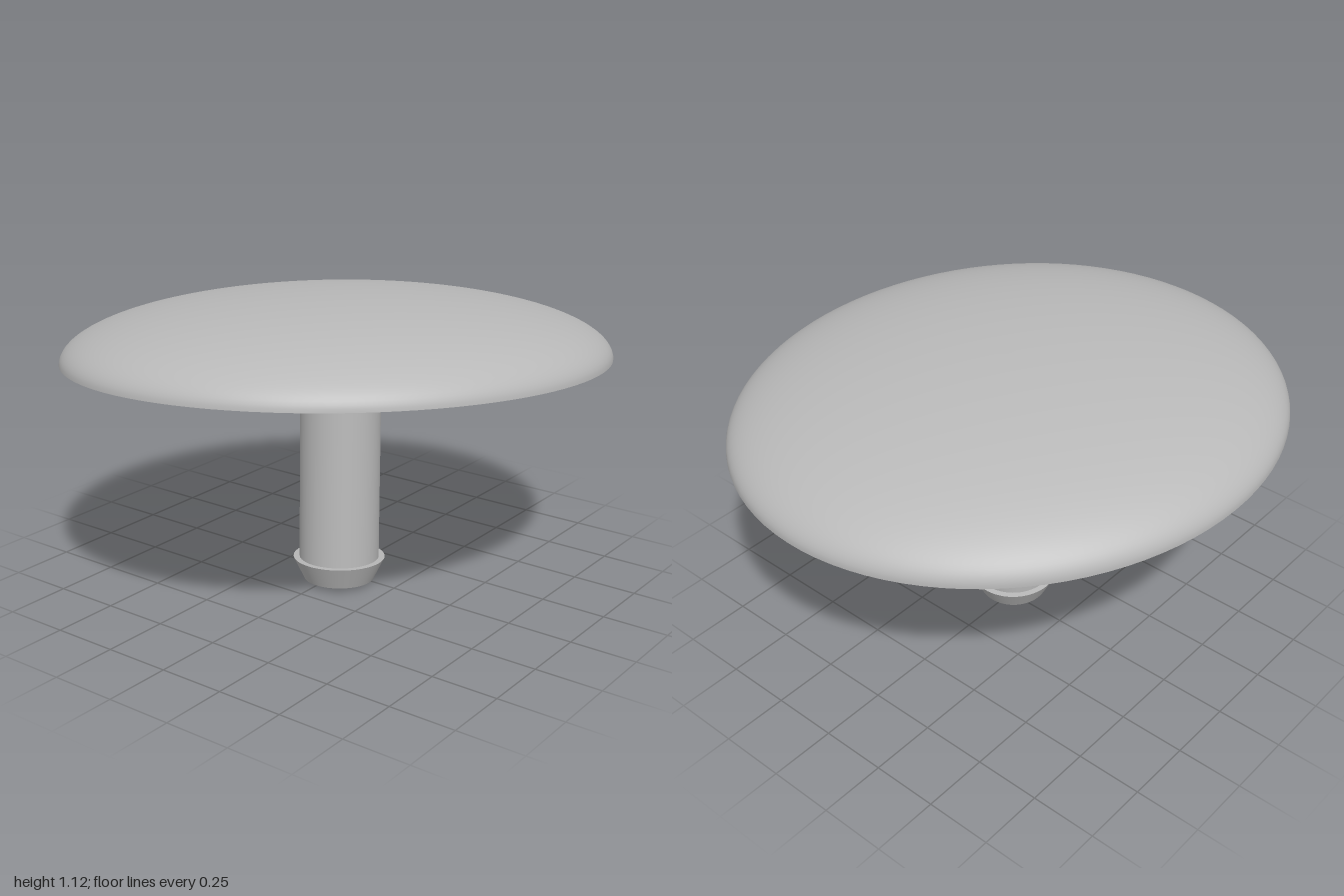
import * as THREE from 'three';

export function createModel() {
  const model = new THREE.Group();
  model.name = 'pushPlug';
  const grey = new THREE.MeshStandardMaterial({ color: 0xb8b8b8 });
  grey.name = 'plain grey';

  // Everything shares one slightly leaning axis; local y = 0 is the cap rim
  const plug = new THREE.Group();
  plug.name = 'plug';
  plug.position.y = 0.877;
  plug.quaternion.setFromUnitVectors(
    new THREE.Vector3(0, 1, 0),
    new THREE.Vector3(-0.0345, 1, -0.0613).normalize()
  );
  model.add(plug);

  // Oval cap: elliptical dome above, shallow hollow below, sharp rim between
  const cap = new THREE.Group();
  cap.name = 'cap';
  cap.rotation.y = -0.511;
  cap.scale.set(0.896, 1, 1.03);
  plug.add(cap);

  const steps = 32;
  const dome = [];
  const hollow = [];
  for (let i = 0; i <= steps; i++) {
    const a = (i / steps) * Math.PI / 2;
    dome.push(new THREE.Vector2(Math.cos(a), 0.239 * Math.sin(a)));
    const r = i / steps;
    hollow.push(new THREE.Vector2(r, 0.115 * (1 - r * r)));
  }
  dome[steps].x = 0;
  addLathe(cap, 'capDome', dome, 96);
  addLathe(cap, 'capUnderside', hollow, 96);

  // Stem parts: [name, top radius, bottom radius, top y, bottom y]
  const parts = [
    ['collar', 0.157, 0.157, 0.14, -0.015],
    ['stem', 0.151, 0.151, -0.015, -0.784],
    ['flaredFoot', 0.174, 0.133, -0.784, -0.87],
  ];
  for (const [name, rTop, rBottom, top, bottom] of parts) {
    const mesh = new THREE.Mesh(
      new THREE.CylinderGeometry(rTop, rBottom, top - bottom, 64), grey);
    mesh.name = name;
    mesh.position.y = (top + bottom) / 2;
    plug.add(mesh);
  }

  function addLathe(parent, name, profile, sides) {
    const mesh = new THREE.Mesh(new THREE.LatheGeometry(profile, sides), grey);
    mesh.name = name;
    parent.add(mesh);
  }

  return model;
}
